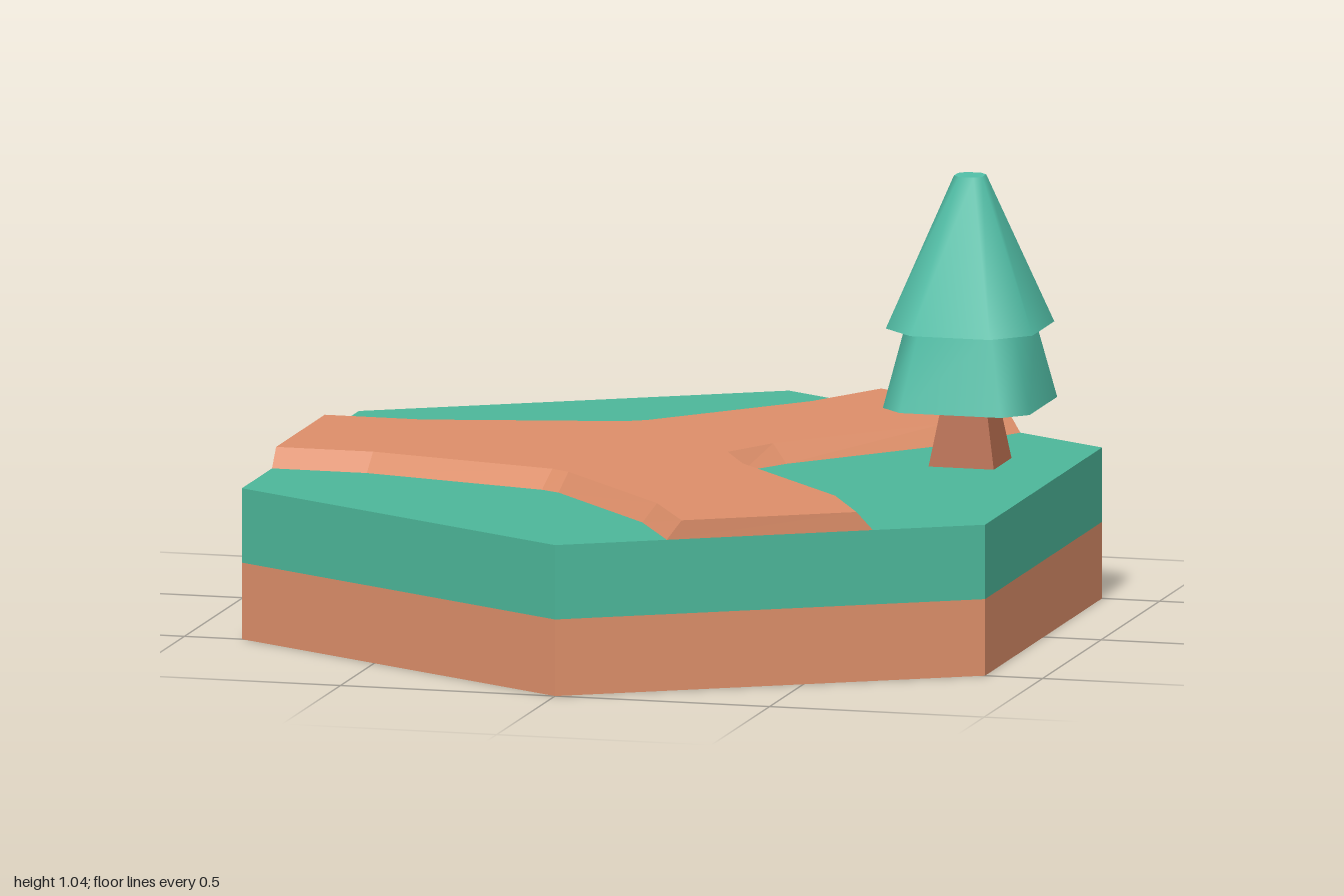
import * as THREE from 'three';
import { mergeGeometries } from 'three/addons/utils/BufferGeometryUtils.js';

const paint = (name, color) => {
  const m = new THREE.MeshStandardMaterial({ color });
  m.name = name;
  return m;
};

function buildGeometry(positions, index, smooth) {
  let g = new THREE.BufferGeometry();
  g.setAttribute('position', new THREE.Float32BufferAttribute(positions, 3));
  g.setIndex(index);
  if (smooth) g.computeVertexNormals();
  g = g.toNonIndexed();
  if (!smooth) g.computeVertexNormals();
  return g;
}

// Closed solid between two [x, z] outlines with equal point counts
function loft(bottom, top, y0, y1, smooth = false) {
  const contour = (ring) => ring.map(([x, z]) => new THREE.Vector2(x, -z));
  if (THREE.ShapeUtils.isClockWise(contour(bottom))) {
    bottom = [...bottom].reverse();
    top = [...top].reverse();
  }
  const n = bottom.length;
  const low = bottom.flatMap(([x, z]) => [x, y0, z]);
  const high = top.flatMap(([x, z]) => [x, y1, z]);
  const sides = [];
  for (let i = 0; i < n; i++) {
    const j = (i + 1) % n;
    sides.push(i, j, n + j, i, n + j, n + i);
  }
  const upCap = THREE.ShapeUtils.triangulateShape(contour(top), []).flat();
  const downCap = THREE.ShapeUtils.triangulateShape(contour(bottom), [])
    .flatMap(([a, b, c]) => [a, c, b]);
  return mergeGeometries([
    buildGeometry([...low, ...high], sides, smooth),
    buildGeometry(high, upCap, false),
    buildGeometry(low, downCap, false),
  ]);
}

// Square outline with cut corners
function cutSquare(h, c) {
  const k = h - c;
  return [[h, -k], [h, k], [k, h], [-k, h], [-h, k], [-h, -k], [-k, -h], [k, -h]];
}

function hexagon() {
  return Array.from({ length: 6 }, (_, i) => {
    const a = (i * Math.PI) / 3;
    return [Math.sin(a), Math.cos(a)];
  });
}

// Y-shaped outline: back half plus its mirror; the last point is the fork tip
function fork(half) {
  const mirrored = half.slice(0, -1).reverse().map(([x, z]) => [x, -z]);
  return [...half, ...mirrored];
}

export function createModel() {
  const dirt = paint('dirt', 0xdc8e69);
  const grass = paint('grass', 0x4cb699);
  const leaves = paint('leaves', 0x52bfa7);
  const bark = paint('bark', 0xb56c4e);

  const model = new THREE.Group();
  model.name = 'hexagonTile';
  const add = (parent, name, geometry, material) => {
    const mesh = new THREE.Mesh(geometry, material);
    mesh.name = name;
    parent.add(mesh);
  };

  // Two-layer ground
  add(model, 'dirtBase', loft(hexagon(), hexagon(), 0, 0.175), dirt);
  add(model, 'grassLayer', loft(hexagon(), hexagon(), 0.175, 0.345), grass);

  // Raised forked path with bevelled banks and upright ends
  const foot = fork([
    [-0.866, -0.243], [-0.645, -0.243], [-0.21, -0.341], [-0.165, -0.365],
    [0.115, -0.675], [0.225, -0.87], [0.64, -0.6305], [0.535, -0.45],
    [0.235, -0.116], [0.165, 0],
  ]);
  const crest = fork([
    [-0.866, -0.208], [-0.64, -0.208], [-0.195, -0.308], [-0.15, -0.335],
    [0.145, -0.66], [0.255, -0.853], [0.607, -0.6495], [0.507, -0.465],
    [0.2, -0.13], [0.13, 0],
  ]);
  add(model, 'path', loft(foot, crest, 0.345, 0.388), dirt);

  // Tree
  const tree = new THREE.Group();
  tree.name = 'tree';
  tree.position.set(0.69, 0, -0.017);
  const square = (h) => [[h, -h], [h, h], [-h, h], [-h, -h]];
  add(tree, 'trunk', loft(square(0.076), square(0.052), 0.388, 0.527), bark);
  add(tree, 'lowerFoliage',
    loft(cutSquare(0.171, 0.053), cutSquare(0.13, 0.045), 0.525, 0.702, true), leaves);
  add(tree, 'upperFoliage',
    loft(cutSquare(0.171, 0.078), cutSquare(0.033, 0.016), 0.702, 1.045, true), leaves);
  model.add(tree);

  return model;
}
